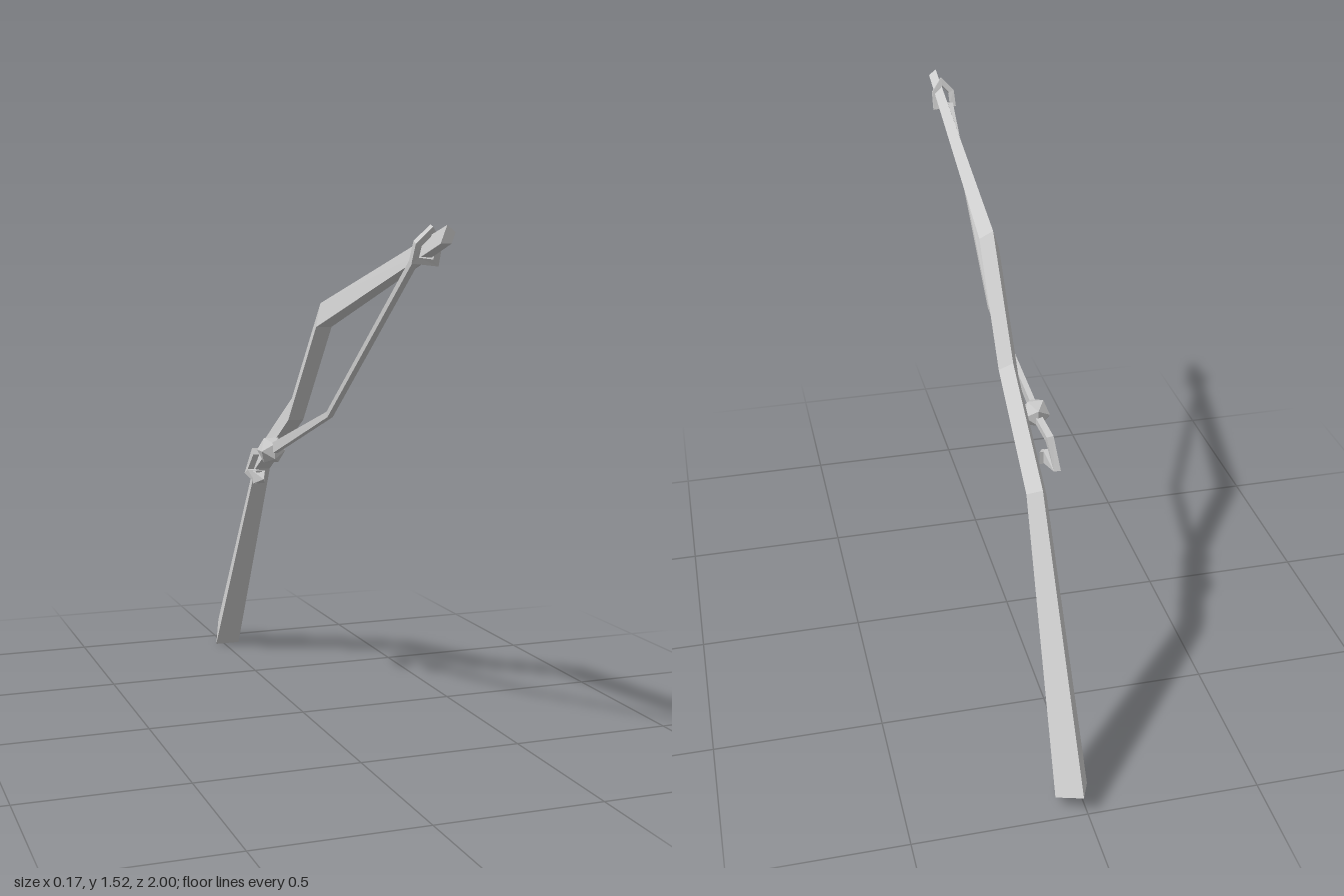
import * as THREE from 'three';

const material = new THREE.MeshStandardMaterial({ color: 0xcccccc, flatShading: true });
const V = (x, y, z) => new THREE.Vector3(x, y, z);

// Skin rings of points, ordered counter-clockwise about the direction of travel
function loft(rings, closed = false) {
  const pos = [];
  const tri = (...pts) => pts.forEach((p) => pos.push(p.x, p.y, p.z));
  const n = rings[0].length;
  const count = closed ? rings.length : rings.length - 1;
  for (let k = 0; k < count; k++) {
    const a = rings[k], b = rings[(k + 1) % rings.length];
    for (let i = 0; i < n; i++) {
      const j = (i + 1) % n;
      tri(a[i], a[j], b[j]);
      tri(a[i], b[j], b[i]);
    }
  }
  if (!closed) {
    const first = rings[0], last = rings[rings.length - 1];
    for (let i = 1; i < n - 1; i++) {
      tri(first[0], first[i + 1], first[i]);
      tri(last[0], last[i], last[i + 1]);
    }
  }
  const geometry = new THREE.BufferGeometry();
  geometry.setAttribute('position', new THREE.Float32BufferAttribute(pos, 3));
  geometry.computeVertexNormals();
  return geometry;
}

// Square bar with mitred corners along a path; side is roughly normal to the bends
function bar(points, radius, side, closed = false) {
  const n = points.length;
  const rings = points.map((p, k) => {
    const prev = closed ? points[(k + n - 1) % n] : points[Math.max(k - 1, 0)];
    const next = closed ? points[(k + 1) % n] : points[Math.min(k + 1, n - 1)];
    const d0 = p.clone().sub(prev).normalize();
    const d1 = next.clone().sub(p).normalize();
    const t = d0.clone().add(d1).normalize();
    const miter = 1 / Math.max(t.dot(d1), 0.5);
    const u = side.clone().addScaledVector(t, -t.dot(side)).normalize();
    const v = t.clone().cross(u);
    return [0, 1, 2, 3].map((i) => {
      const a = Math.PI / 4 + (i * Math.PI) / 2;
      return p.clone()
        .addScaledVector(u, Math.cos(a) * radius)
        .addScaledVector(v, Math.sin(a) * radius * miter);
    });
  });
  return loft(rings, closed);
}

export function createModel() {
  const group = new THREE.Group();
  const add = (name, geometry) => {
    const mesh = new THREE.Mesh(geometry, material);
    mesh.name = name;
    group.add(mesh);
    return mesh;
  };

  // Crooked pole: each section is a pentagon with its right corner left out
  // [top y, top z, bottom y, bottom z, centre x, side length], tip to butt
  const sections = [
    [1.52, 1.0, 1.475, 0.995, 0.016, 0.029],
    [1.297, 0.11, 1.228, 0.14, 0.016, 0.049],
    [0.987, -0.153, 0.922, -0.115, 0.016, 0.05],
    [0.772, -0.517, 0.718, -0.458, 0.016, 0.052],
    [0.064, -1.0, 0.003, -0.882, 0.013, 0.086],
  ];
  add('pole', loft(sections.map(([ty, tz, by, bz, x, s]) => {
    const at = (dx, f) => V(x + dx * s, ty + (by - ty) * f, tz + (bz - tz) * f);
    return [at(0, 0), at(0.809, 0.382), at(0.5, 1), at(-0.5, 1)];
  })));

  // Band tied round the tip
  add('tipBand', bar([
    V(0.015, 1.507, 0.905), V(-0.015, 1.475, 0.894), V(-0.017, 1.436, 0.877),
    V(0.04, 1.43, 0.877), V(0.04, 1.475, 0.894),
  ], 0.012, V(0, -0.35, 0.94), true));

  // Slack line from the band down to the float
  add('line', bar([
    V(-0.006, 1.44, 0.865), V(-0.006, 0.98, 0.25), V(-0.048, 0.825, -0.16),
  ], 0.012, V(1, 0, 0)));

  // Faceted float
  add('float', new THREE.IcosahedronGeometry(0.046, 0)).position.set(-0.048, 0.822, -0.17);

  // Bent hook and its barb
  add('hook', bar([
    V(-0.05, 0.815, -0.19), V(-0.06, 0.802, -0.295),
    V(-0.07, 0.732, -0.335), V(-0.06, 0.723, -0.26),
  ], 0.015, V(1, 0, 0)));
  const barb = new THREE.ConeGeometry(0.029, 0.05, 4);
  barb.rotateY(Math.PI / 4);
  barb.rotateX(Math.PI / 2);
  add('barb', barb).position.set(-0.058, 0.721, -0.242);

  return group;
}
